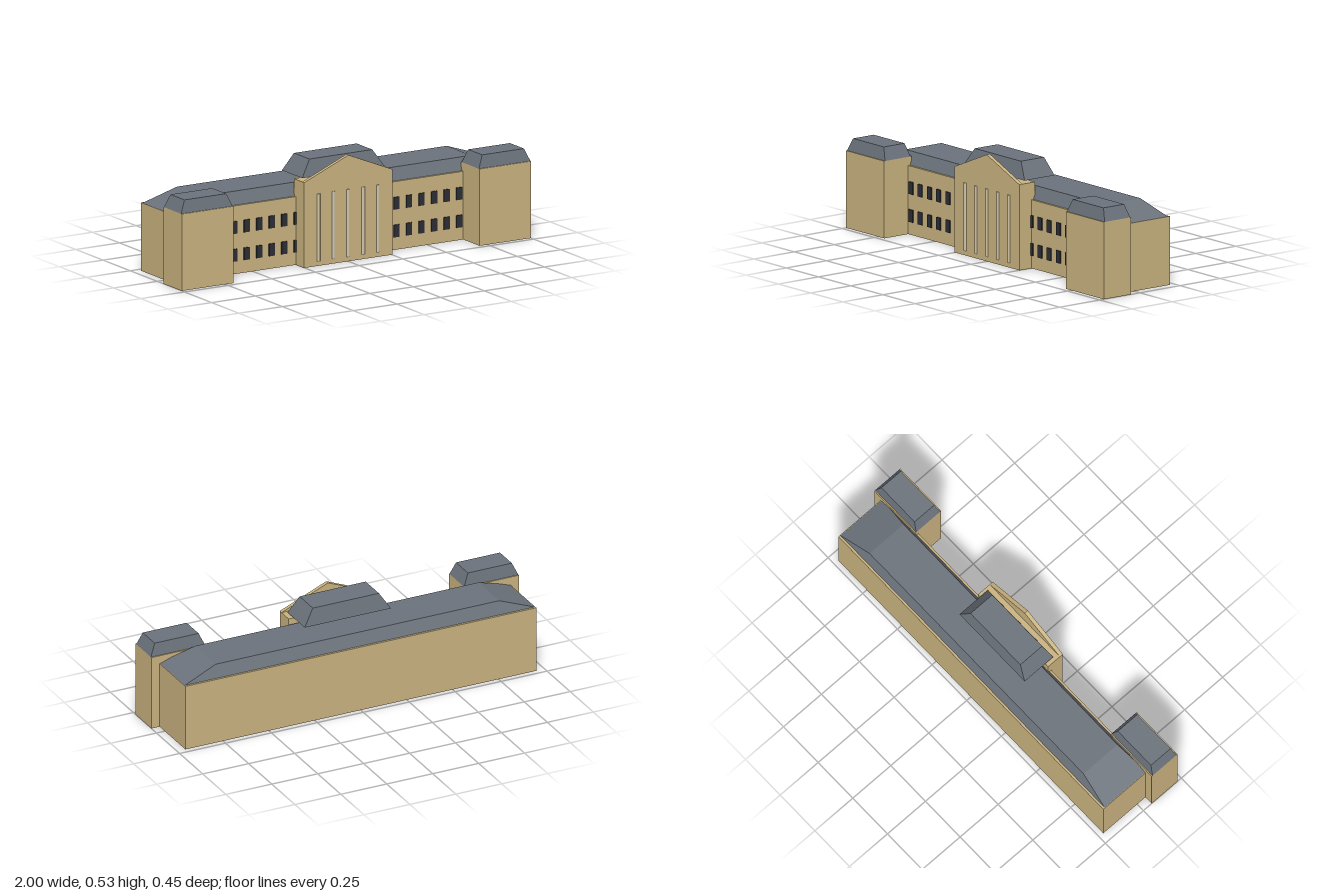
import * as THREE from 'three';

const material = (name, color) => {
  const m = new THREE.MeshStandardMaterial({ color });
  m.name = name;
  return m;
};

export function createModel() {
  const stone = material('sandstone', 0xc9b27f);
  const slate = material('slate', 0x6b727b);
  const glass = material('darkGlass', 0x2b2e35);
  const pale = material('paleStone', 0xcfc4a8);
  const model = new THREE.Group();
  model.name = 'palace';

  const add = (name, geometry, mat, x = 0, y = 0, z = 0) => {
    const mesh = new THREE.Mesh(geometry, mat);
    mesh.name = name;
    mesh.position.set(x, y, z);
    model.add(mesh);
    return mesh;
  };

  // Box standing on height y
  const block = (name, mat, w, h, d, x, y, z) =>
    add(name, new THREE.BoxGeometry(w, h, d), mat, x, y + h / 2, z);

  // Hipped roof with a flat top: a box whose upper corners are drawn inwards
  const roof = (name, w, h, d, taper, x, y, z) => {
    const g = new THREE.BoxGeometry(w, h, d);
    const p = g.attributes.position;
    for (let i = 0; i < p.count; i++) {
      if (p.getY(i) > 0) p.setXYZ(i, p.getX(i) * taper, p.getY(i), p.getZ(i) * taper);
    }
    g.computeVertexNormals();
    return add(name, g, slate, x, y + h / 2, z);
  };

  // Long main range
  block('mainRange', stone, 1.91, 0.342, 0.298, 0, 0, -0.074);
  roof('mainRoof', 1.905, 0.063, 0.276, 0.81, 0, 0.342, -0.074);

  // Projecting end pavilions
  for (const [side, s] of [['left', 1], ['right', -1]]) {
    block(side + 'Pavilion', stone, 0.295, 0.385, 0.17, s * 0.8525, 0, 0.14);
    roof(side + 'PavilionRoof', 0.295, 0.063, 0.159, 0.81, s * 0.8525, 0.385, 0.14);
  }

  // Central portico and the roof behind it
  block('portico', stone, 0.506, 0.428, 0.095, 0, 0, 0.1025);
  roof('centralRoof', 0.47, 0.084, 0.187, 0.765, 0, 0.438, 0.0105);

  // Pediment
  const gable = new THREE.Shape();
  gable.moveTo(-0.253, 0);
  gable.lineTo(0.253, 0);
  gable.lineTo(0, 0.105);
  gable.closePath();
  add('pediment', new THREE.ExtrudeGeometry(gable, { depth: 0.02, bevelEnabled: false }),
    stone, 0, 0.428, 0.132);

  // Engaged columns
  const columnGeometry = new THREE.CylinderGeometry(0.01, 0.01, 0.338, 12);
  for (let i = -2; i <= 2; i++) {
    add('column', columnGeometry, pale, i * 0.085, 0.193, 0.147);
  }

  // Two rows of windows on each side of the portico
  const windowGeometry = new THREE.BoxGeometry(0.032, 0.062, 0.008);
  for (const s of [-1, 1]) {
    for (const y of [0.095, 0.234]) {
      for (let i = 0; i < 7; i++) {
        add('window', windowGeometry, glass, s * (0.68 - i * 0.0717), y, 0.077);
      }
    }
  }

  return model;
}
